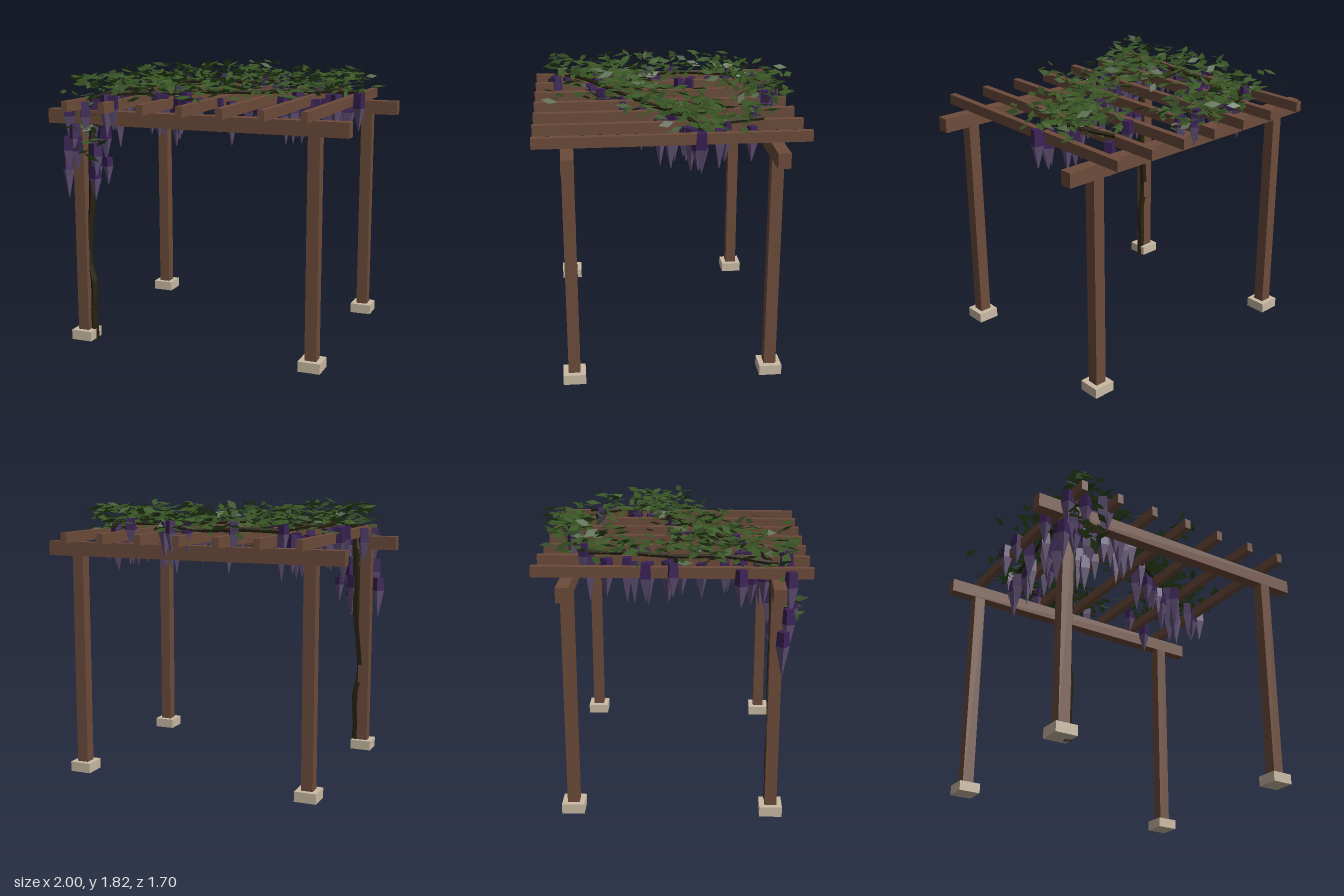
import * as THREE from 'three';
import { mergeGeometries } from 'three/addons/utils/BufferGeometryUtils.js';

const paint = (name, color, extra = {}) => {
  const m = new THREE.MeshStandardMaterial({ color, flatShading: true, ...extra });
  m.name = name;
  return m;
};

export function createModel() {
  const model = new THREE.Group();
  model.name = 'pergola';

  const wood = paint('timber', 0x6d4c3b);
  const stone = paint('stone', 0xcabba3);
  const bark = paint('bark', 0x272110);
  const green = paint('leafGreen', 0x375422, { side: THREE.DoubleSide });
  const darkGreen = paint('darkLeafGreen', 0x2e451f, { side: THREE.DoubleSide });
  const violet = paint('deepViolet', 0x3a2155);
  const lilac = paint('lilac', 0x5f4f74);

  let seed = 4711;
  const rand = () => {
    seed = (seed * 16807) % 2147483647;
    return seed / 2147483647;
  };
  const spread = (s) => (rand() + rand() - 1) * s;
  const range = (a, b) => a + (b - a) * rand();

  const add = (name, geometry, material) => {
    const mesh = new THREE.Mesh(geometry, material);
    mesh.name = name;
    model.add(mesh);
    return mesh;
  };
  const box = (name, w, h, d, x, y, z, material) =>
    add(name, new THREE.BoxGeometry(w, h, d), material).position.set(x, y, z);

  // Timber frame on stone footings
  for (const z of [0.645, -0.6]) {
    for (const x of [-0.788, 0.788]) {
      box('footing', 0.142, 0.065, 0.142, x, 0.045, z, stone);
      box('post', 0.075, 1.53, 0.075, x, 0.78, z, wood);
    }
    box('beam', 2, 0.092, 0.077, 0, 1.5, z, wood);
  }
  for (let i = -3; i <= 3; i++) box('rafter', 0.042, 0.066, 1.665, i * 0.26, 1.583, 0.02, wood);

  // Vine: a kinked trunk climbing one post, then runners over the rafters
  const curve = (pts) => new THREE.CatmullRomCurve3(pts.map((p) => new THREE.Vector3(...p)), false, 'catmullrom', 0.2);
  const trunk = curve([[-0.73, 0, 0.625], [-0.738, 0.2, 0.628], [-0.724, 0.38, 0.625],
    [-0.764, 0.56, 0.63], [-0.745, 0.8, 0.624], [-0.722, 1.0, 0.624], [-0.72, 1.2, 0.627],
    [-0.71, 1.45, 0.622], [-0.7, 1.63, 0.62]]);
  const diagonal = curve([[-0.7, 1.62, 0.62], [-0.52, 1.65, 0.53], [-0.28, 1.64, 0.38],
    [0, 1.65, 0.25], [0.25, 1.64, 0.09], [0.42, 1.65, -0.03], [0.58, 1.64, -0.11], [0.82, 1.64, -0.16]]);
  const sideRun = curve([[-0.7, 1.62, 0.62], [-0.66, 1.65, 0.35], [-0.64, 1.64, 0.05],
    [-0.6, 1.65, -0.25], [-0.56, 1.64, -0.54]]);
  const backRun = curve([[-0.56, 1.64, -0.54], [-0.35, 1.65, -0.6], [-0.1, 1.64, -0.62],
    [0.05, 1.66, -0.69], [0.22, 1.64, -0.64]]);
  const cornerRun = curve([[0.66, 1.64, -0.13], [0.68, 1.65, -0.3], [0.58, 1.64, -0.55]]);
  add('vineTrunk', new THREE.TubeGeometry(trunk, 16, 0.026, 5), bark);
  for (const c of [diagonal, sideRun, backRun, cornerRun])
    add('vineRunner', new THREE.TubeGeometry(c, 12, 0.014, 5), bark);

  // One flat diamond leaf
  const leaves = [[], []];
  const leaf = (x, y, z, tilt) => {
    const l = range(0.045, 0.06), w = l * range(0.38, 0.48);
    const g = new THREE.BufferGeometry();
    g.setAttribute('position', new THREE.Float32BufferAttribute(
      [-l, 0, 0, 0, 0, w, l, 0, 0, 0, 0, -w], 3));
    g.setIndex([0, 1, 2, 0, 2, 3]);
    g.rotateX(spread(tilt));
    g.rotateZ(spread(tilt * 0.6));
    g.rotateY(rand() * Math.PI * 2);
    g.translate(x, y, z);
    leaves[rand() < 0.8 ? 0 : 1].push(g);
  };

  // Canopy leaves scattered round each runner
  const canopy = [[diagonal, 330, 0.24, 0.04], [sideRun, 170, 0.26, 0.12],
    [backRun, 150, 0.22, 0], [cornerRun, 90, 0.22, 0]];
  for (const [c, count, width, start] of canopy) {
    for (let i = 0; i < count; i++) {
      const p = c.getPoint(range(start, 1));
      const dx = spread(width), dz = spread(width);
      leaf(p.x + dx, 1.7 + spread(0.105), THREE.MathUtils.clamp(p.z + dz, -0.81, 0.81), 0.9);
    }
  }
  // Tufts at the front corner, mid bays, inner back bay and down the post
  const tufts = [[26, -0.7, 0.16, 1.62, 1.77, 0.68, 0.13], [35, -0.33, 0.22, 1.62, 1.76, 0.14, 0.2],
    [30, -0.2, 0.35, 1.63, 1.8, -0.45, 0.18], [12, 0.12, 0.2, 1.62, 1.72, 0.55, 0.28],
    [14, -0.74, 0.14, 1.36, 1.6, 0.7, 0.09], [16, -0.7, 0.13, 1.24, 1.48, 0.755, 0.03]];
  for (const [count, x, sx, low, high, z, sz] of tufts)
    for (let i = 0; i < count; i++) leaf(x + spread(sx), range(low, high), z + spread(sz), 1.2);
  for (const [x, z] of [[-0.96, -0.4], [-0.95, -0.42], [-0.96, 0.05], [-0.82, -0.2], [0.86, 0.07]])
    leaf(x, 1.7, z, 1.2);
  add('leaves', mergeGeometries(leaves[0]), green);
  add('shadedLeaves', mergeGeometries(leaves[1]), darkGreen);

  // Hanging blossom: a blunt upper part above a long pointed tip
  const tops = [], tips = [];
  const blossom = (x, y, z, size = 1) => {
    const a = 0.095 * size, b = range(0.13, 0.2) * size, turn = rand() * 3;
    const r = range(0.04, 0.046) * Math.sqrt(size);
    const top = new THREE.CylinderGeometry(r * 0.85, r, a, 4);
    const tip = new THREE.CylinderGeometry(r, 0.003, b, 4);
    top.rotateY(turn).translate(x, y - a / 2, z);
    tip.rotateY(turn).translate(x, y - a - b / 2, z);
    tops.push(top);
    tips.push(tip);
  };
  const hung = [[-0.82, 0.43], [-0.81, 0.03], [-0.81, -0.13], [-0.65, 0.43], [-0.46, -0.15], [-0.46, -0.22],
    [-0.32, 0.48], [-0.28, 0.46], [-0.2, 0.4], [-0.15, 0.41], [0.46, 0.07], [0.46, -0.02],
    [0.77, -0.15], [0.84, -0.14], [0.68, -0.3], [-0.7, 0], [-0.56, 0.71], [-0.52, 0.7]];
  for (const [x, z] of hung) blossom(x, range(1.61, 1.66), z, range(0.85, 1.1));
  for (const [x, z] of [[-0.58, -0.52], [0, -0.65], [0.08, -0.7], [0.15, -0.65], [0.46, -0.52], [-0.3, -0.62]])
    blossom(x, 1.7, z, 0.8);
  for (const [c, count] of [[diagonal, 22], [sideRun, 12], [cornerRun, 3]]) {
    for (let i = 0; i < count; i++) {
      const p = c.getPoint((i + 0.5) / count);
      blossom(p.x + spread(0.07), range(1.57, 1.63), p.z + spread(0.06), range(0.7, 1.05));
    }
  }
  // Blossoms round the climbing trunk
  const low = [[-0.865, 1.25, 0.68], [-0.84, 1.38, 0.71], [-0.78, 1.46, 0.73], [-0.77, 1.38, 0.72],
    [-0.67, 1.2, 0.68], [-0.65, 1.35, 0.7], [-0.585, 1.25, 0.66, 0.6], [-0.63, 1.45, 0.6],
    [-0.7, 1.6, 0.73], [-0.82, 1.6, 0.72], [-0.69, 1.27, 0.63]];
  for (const [x, y, z, size = 0.95] of low) blossom(x, y, z, size);
  add('blossomTops', mergeGeometries(tops), violet);
  add('blossomTips', mergeGeometries(tips), lilac);

  return model;
}
